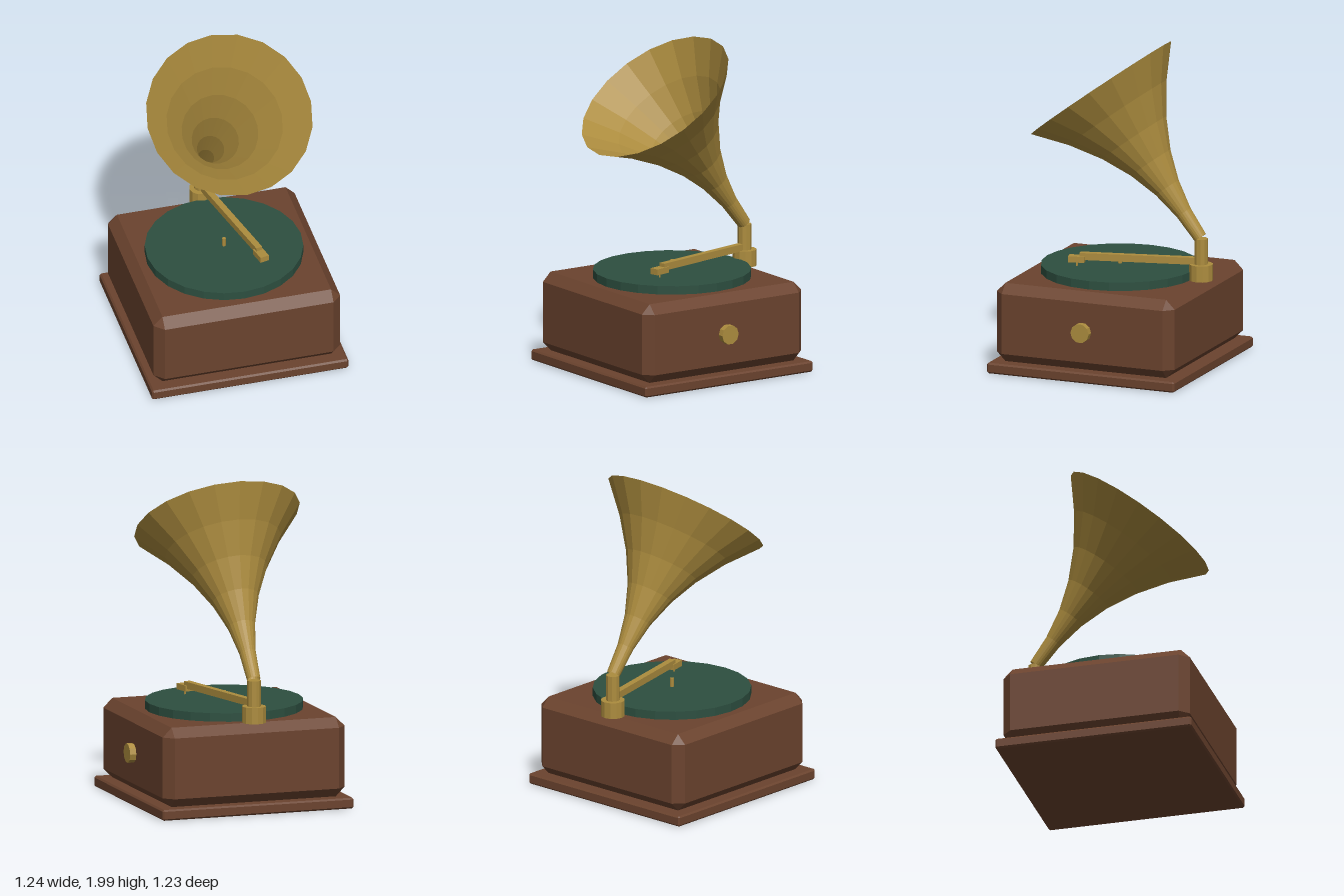
import * as THREE from 'three';
import { ConvexGeometry } from 'three/addons/geometries/ConvexGeometry.js';

// Box with every edge cut at 45 degrees by c
function chamferedBox(w, h, d, c) {
  const pts = [];
  for (const sx of [-1, 1]) for (const sy of [-1, 1]) for (const sz of [-1, 1]) {
    const x = w / 2, y = h / 2, z = d / 2;
    pts.push(
      new THREE.Vector3(sx * x, sy * (y - c), sz * (z - c)),
      new THREE.Vector3(sx * (x - c), sy * y, sz * (z - c)),
      new THREE.Vector3(sx * (x - c), sy * (y - c), sz * z));
  }
  return new ConvexGeometry(pts);
}

export function createModel() {
  const model = new THREE.Group();
  model.name = 'gramophone';

  const material = (name, color, side = THREE.FrontSide) => {
    const m = new THREE.MeshStandardMaterial({ color, side, flatShading: true });
    m.name = name;
    return m;
  };
  const wood = material('wood', 0x6b432e);
  const felt = material('green felt', 0x2d4f40);
  const brass = material('brass', 0xac8c3e, THREE.DoubleSide);

  const add = (name, geometry, mat, x, y, z, parent = model) => {
    const mesh = new THREE.Mesh(geometry, mat);
    mesh.name = name;
    mesh.position.set(x, y, z);
    parent.add(mesh);
    return mesh;
  };
  const cylinder = (r, h, sides) => new THREE.CylinderGeometry(r, r, h, sides);
  const cx = -0.004; // the knob on one side shifts the body slightly

  // Cabinet
  add('plinth', chamferedBox(1.23, 0.066, 1.23, 0.01), wood, cx, 0.033, 0);
  add('cabinet', chamferedBox(1.17, 0.488, 1.17, 0.057), wood, cx, 0.31, 0);
  add('windingKnob', cylinder(0.06, 0.045, 10), brass, 0.598, 0.312, 0).rotation.z = Math.PI / 2;

  // Turntable
  add('platter', cylinder(0.48, 0.052, 24), felt, cx, 0.58, 0);
  add('spindle', cylinder(0.012, 0.06, 8), brass, cx, 0.63, 0);

  // Stand behind the platter
  const standZ = -0.533;
  add('standCollar', cylinder(0.073, 0.1, 12), brass, cx, 0.605, standZ);
  add('standColumn', cylinder(0.042, 0.16, 10), brass, cx, 0.733, standZ);

  // Tone arm swung over the platter, built along its own z axis
  const arm = new THREE.Group();
  arm.name = 'toneArm';
  arm.position.set(cx, 0, standZ);
  arm.rotation.y = Math.atan2(0.174, 0.743);
  model.add(arm);
  const reach = 0.763;
  add('armBar', new THREE.BoxGeometry(0.04, 0.043, reach - 0.02), brass, 0, 0.673, (reach - 0.02) / 2, arm);
  add('armHead', new THREE.BoxGeometry(0.057, 0.037, 0.1), brass, 0, 0.654, reach, arm);
  add('needle', cylinder(0.006, 0.03, 6), brass, 0, 0.625, reach, arm);

  // Flaring horn, tilted forward
  const profile = [];
  for (let i = 0; i <= 6; i++) {
    const s = i / 6;
    profile.push(new THREE.Vector2(0.041 + 0.471 * s ** 2.18, 1.087 * s));
  }
  add('horn', new THREE.LatheGeometry(profile, 20), brass, cx, 0.818, -0.528)
    .rotation.x = Math.atan2(0.6, 0.8);

  return model;
}
